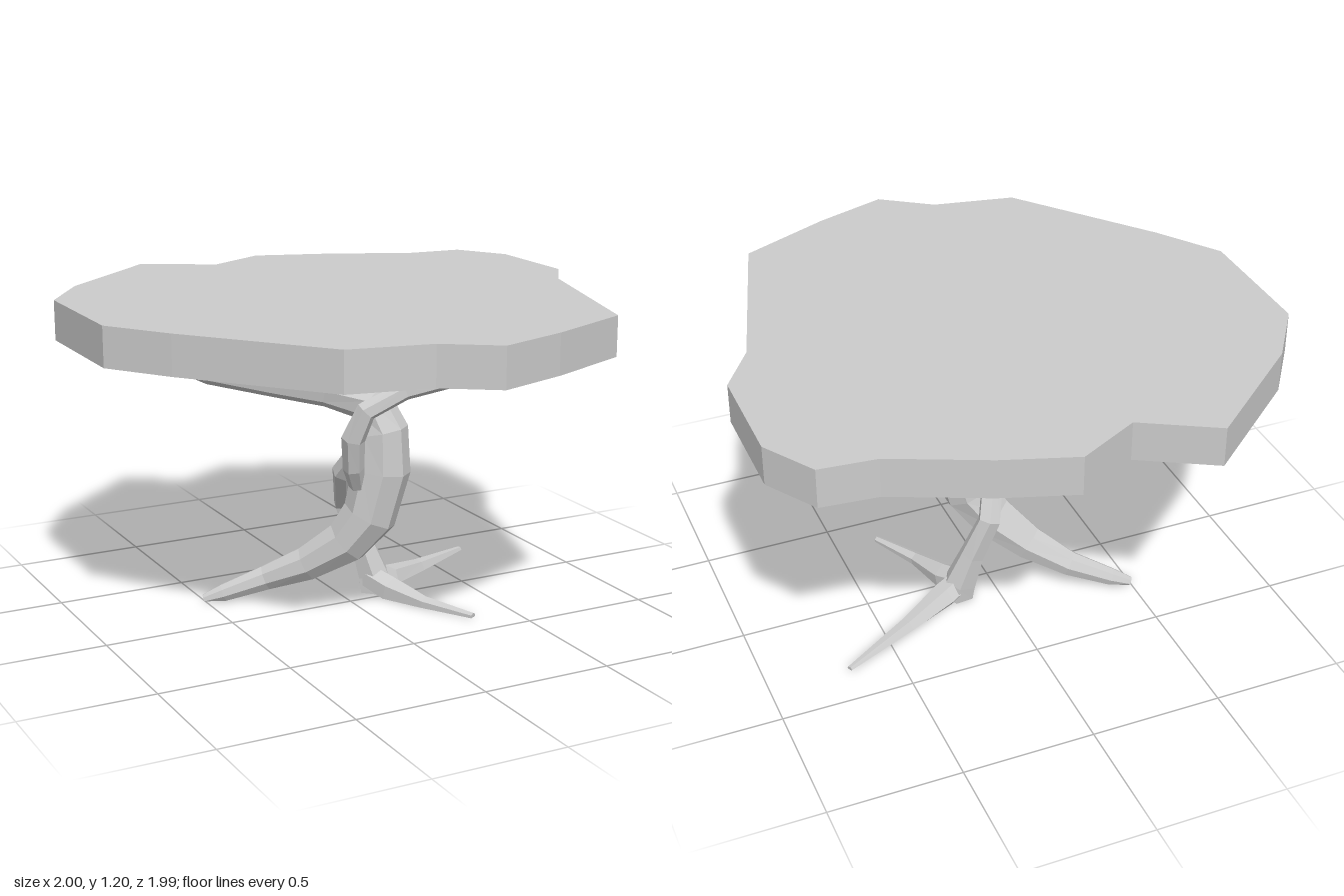
import * as THREE from 'three';

const material = new THREE.MeshStandardMaterial({ color: 0xcccccc, flatShading: true, side: THREE.DoubleSide });

// Faceted limb through points [x, y, z, radius], flattened where it meets the floor
function limb(name, path, sides = 6) {
  const points = path.map(([x, y, z]) => new THREE.Vector3(x, y, z));
  const last = points.length - 1;
  const normal = new THREE.Vector3(0, 0, 1);
  const positions = [], index = [];
  const add = (v) => positions.push(v.x, Math.max(0, v.y), v.z);

  points.forEach((p, i) => {
    const before = p.clone().sub(points[Math.max(i - 1, 0)]).normalize();
    const after = points[Math.min(i + 1, last)].clone().sub(p).normalize();
    const tangent = before.add(after).normalize();
    normal.addScaledVector(tangent, -normal.dot(tangent)).normalize();
    const binormal = tangent.clone().cross(normal);
    for (let j = 0; j < sides; j++) {
      const a = (j / sides) * Math.PI * 2;
      add(p.clone()
        .addScaledVector(normal, Math.cos(a) * path[i][3])
        .addScaledVector(binormal, Math.sin(a) * path[i][3]));
    }
  });
  for (let i = 0; i < last; i++) {
    for (let j = 0; j < sides; j++) {
      const k = (j + 1) % sides;
      const a = i * sides + j, b = i * sides + k;
      index.push(a, b, a + sides, b, b + sides, a + sides);
    }
  }
  // End caps
  const start = positions.length / 3;
  add(points[0]);
  add(points[last]);
  for (let j = 0; j < sides; j++) {
    const k = (j + 1) % sides;
    index.push(start, k, j, start + 1, last * sides + j, last * sides + k);
  }

  const geometry = new THREE.BufferGeometry();
  geometry.setAttribute('position', new THREE.Float32BufferAttribute(positions, 3));
  geometry.setIndex(index);
  geometry.computeVertexNormals();
  const mesh = new THREE.Mesh(geometry, material);
  mesh.name = name;
  return mesh;
}

// Irregular slab with a natural edge, outline given as [x, z]
function tabletop() {
  const outline = [
    [-0.44, -1], [-0.17, -0.85], [0.06, -0.97], [0.33, -0.88], [0.67, -0.73], [0.88, -0.71],
    [1, -0.52], [1, -0.12], [0.88, -0.06 + 0.12], [0.67, 0.75], [0.33, 0.9], [0.06, 0.99],
    [-0.13, 0.86], [-0.44, 0.8], [-0.84, 0.31], [-1, 0.08], [-1, -0.43], [-0.84, -0.66],
  ];
  const shape = new THREE.Shape(outline.map(([x, z]) => new THREE.Vector2(x, z)));
  const geometry = new THREE.ExtrudeGeometry(shape, { depth: 0.15, bevelEnabled: false });
  geometry.rotateX(Math.PI / 2);
  const mesh = new THREE.Mesh(geometry, material);
  mesh.name = 'tabletop';
  mesh.position.y = 1.2;
  return mesh;
}

export function createModel() {
  const model = new THREE.Group();
  model.name = 'branchTable';
  model.add(tabletop());

  // Main trunk, from its root tip up through the bend into the largest branch
  model.add(limb('trunk', [
    [-0.5, 0.005, -0.27, 0.02], [-0.43, 0.03, -0.24, 0.035], [-0.28, 0.09, -0.17, 0.05],
    [-0.15, 0.16, -0.07, 0.07], [-0.03, 0.26, 0.03, 0.09], [0.04, 0.37, 0.08, 0.105],
    [0.08, 0.55, 0.1, 0.11], [0.08, 0.7, 0.1, 0.1], [0.05, 0.81, 0.06, 0.085],
    [-0.08, 0.84, -0.04, 0.06], [-0.24, 0.865, -0.15, 0.055], [-0.44, 0.91, -0.29, 0.06],
    [-0.59, 0.99, -0.37, 0.075], [-0.61, 1.06, -0.39, 0.085],
  ], 8));

  // Upper branches
  model.add(limb('backBranch', [
    [0.02, 0.81, 0, 0.05], [0.1, 0.89, -0.13, 0.06], [0.2, 0.98, -0.25, 0.05], [0.28, 1.06, -0.33, 0.045],
  ]));
  model.add(limb('frontBranch', [
    [-0.03, 0.5, 0.11, 0.03], [-0.06, 0.58, 0.14, 0.04], [-0.075, 0.7, 0.165, 0.045],
    [-0.04, 0.81, 0.2, 0.04], [0.1, 0.88, 0.24, 0.035], [0.32, 0.94, 0.32, 0.04],
    [0.42, 0.98, 0.39, 0.045], [0.5, 1.06, 0.45, 0.055],
  ]));

  // Second leg leaves the trunk halfway up and splits into two roots
  model.add(limb('sideLeg', [
    [0.0, 0.6, 0.05, 0.045], [-0.02, 0.52, -0.02, 0.045], [0.04, 0.36, -0.125, 0.045],
    [0.1, 0.2, -0.1, 0.05], [0.14, 0.07, -0.08, 0.065], [0.15, 0, -0.07, 0.07],
  ]));
  model.add(limb('sideRoot', [
    [0.11, 0.06, -0.06, 0.05], [0.22, 0.025, -0.1, 0.055], [0.41, 0.01, -0.2, 0.035], [0.69, 0.003, -0.34, 0.012],
  ]));
  model.add(limb('frontRoot', [
    [0.12, 0.06, -0.09, 0.05], [0.17, 0.025, 0.02, 0.055], [0.23, 0.01, 0.18, 0.03], [0.33, 0.003, 0.37, 0.015],
  ]));
  return model;
}
